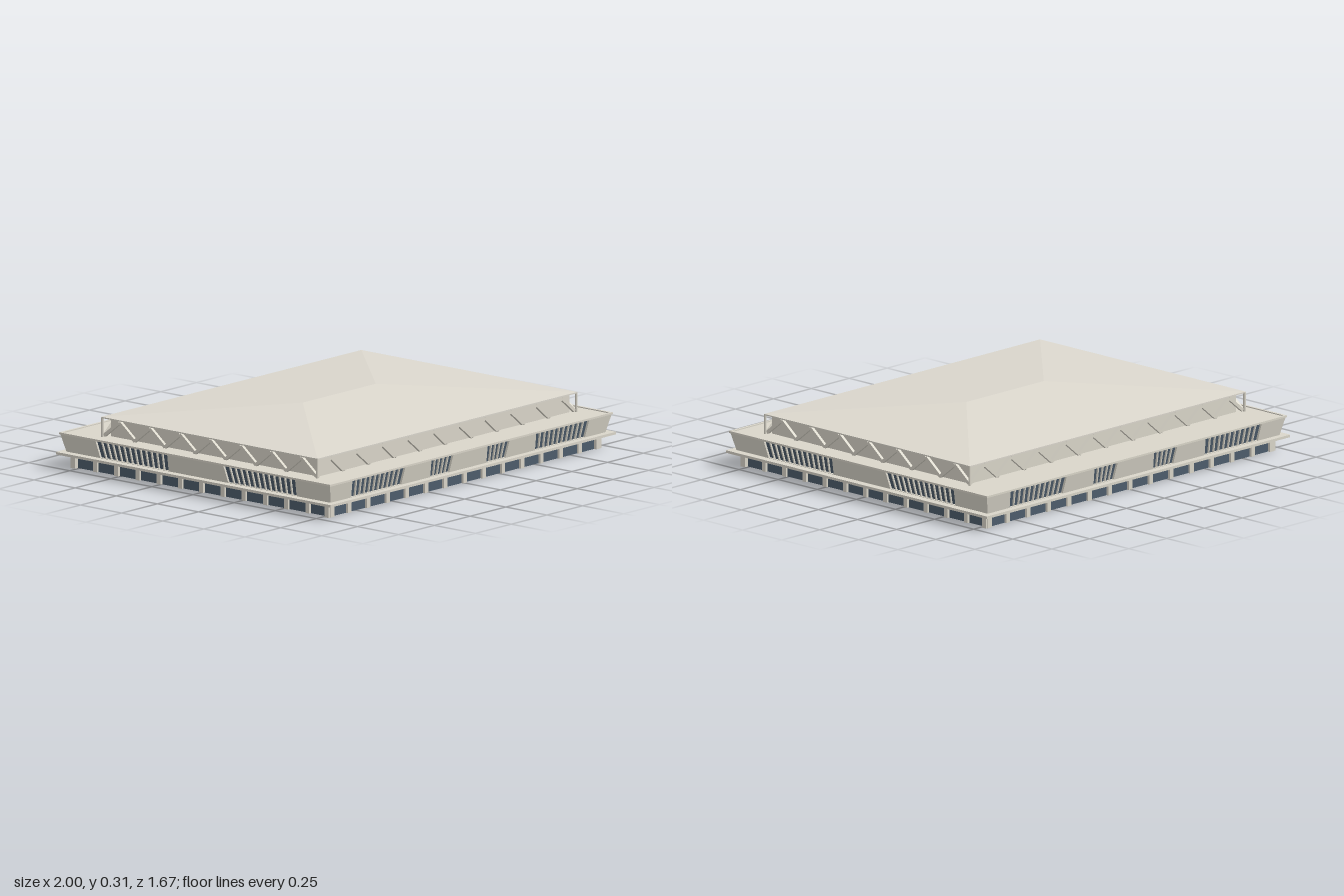
import * as THREE from 'three';

const mat = (name, color) => {
  const m = new THREE.MeshStandardMaterial({ color });
  m.name = name;
  return m;
};

export function createModel() {
  const root = new THREE.Group();
  root.name = 'arena';
  const wall = mat('warm beige wall', 0xdad6ca);
  const roofMat = mat('roof beige', 0xdcd8ce);
  const glass = mat('blue grey glass', 0x4d5d6c);

  const add = (parent, name, geo, m, x = 0, y = 0, z = 0) => {
    const mesh = new THREE.Mesh(geo, m);
    mesh.name = name;
    mesh.position.set(x, y, z);
    parent.add(mesh);
    return mesh;
  };
  // box given by its bounds
  const block = (parent, name, m, x0, x1, y0, y1, z0, z1) =>
    add(parent, name, new THREE.BoxGeometry(x1 - x0, y1 - y0, z1 - z0), m,
      (x0 + x1) / 2, (y0 + y1) / 2, (z0 + z1) / 2);
  // bar between two points
  const bar = (parent, name, m, a, b, t) => {
    const d = b.clone().sub(a);
    const mesh = add(parent, name, new THREE.BoxGeometry(t, d.length(), t), m);
    mesh.position.copy(a).add(b).multiplyScalar(0.5);
    mesh.quaternion.setFromUnitVectors(new THREE.Vector3(0, 1, 0), d.normalize());
  };
  // lean a geometry outwards (+z) and sideways (x) with height
  const shear = (geo, slopeZ, slopeX = 0) => {
    const g = geo.index ? geo.toNonIndexed() : geo;
    const p = g.attributes.position;
    for (let i = 0; i < p.count; i++) {
      const y = p.getY(i);
      p.setX(i, p.getX(i) + slopeX * y);
      p.setZ(i, p.getZ(i) + slopeZ * y);
    }
    g.computeVertexNormals();
    return g;
  };
  const points = list => list.map(([x, y]) => new THREE.Vector2(x, y));
  const rect = (w, h) => points([[-w, -h], [w, -h], [w, h], [-w, h]]);

  // overhanging slab ring, open in the middle
  const ring = new THREE.Shape(rect(1, 0.835));
  ring.holes.push(new THREE.Path(rect(0.925, 0.765)));
  const slab = new THREE.ExtrudeGeometry(ring, { depth: 0.012, bevelEnabled: false });
  add(root, 'overhangSlab', slab.rotateX(-Math.PI / 2), wall, 0, 0.064, 0);

  // upper deck behind the parapet
  block(root, 'upperDeck', wall, -0.975, 0.975, 0.157, 0.164, -0.81, 0.81);

  // the four facades, each built facing +z and turned into place
  const Y0 = 0.075, H = 0.088;
  for (let k = 0; k < 4; k++) {
    const long = k % 2 === 0;
    const W = long ? 0.962 : 0.803, D = long ? 0.803 : 0.962;
    const flareW = long ? 0.024 : 0.018, flareD = long ? 0.018 : 0.024;
    const slope = flareD / H;
    const side = new THREE.Group();
    side.name = ['frontFacade', 'leftFacade', 'backFacade', 'rightFacade'][k];
    side.rotation.y = k * Math.PI / 2;
    root.add(side);

    // ground floor: thin glazing with columns standing through it
    const bays = long ? 14 : 12, span = long ? 0.942 : 0.775;
    block(side, 'groundGlazing', glass, -span + 0.01, span - 0.01, 0, 0.064, D - 0.036, D - 0.03);
    for (let i = 0; i <= bays; i++) {
      const x = -span + 2 * span * i / bays;
      block(side, 'column', wall, x - 0.012, x + 0.012, 0, 0.064, D - 0.045, D - 0.018);
    }

    // outward leaning wall with window openings that narrow downwards
    const openings = long
      ? [[-0.828, -0.458], [-0.275, -0.122], [0.118, 0.271], [0.458, 0.828]]
      : [[-0.607, -0.171], [0.171, 0.607]];
    const taper = 0.01, lo = 0.003, hi = H - 0.005;
    const shape = new THREE.Shape(points([[-W, 0], [W, 0], [W + flareW, H], [-W - flareW, H]]));
    for (const [a, b] of openings) {
      shape.holes.push(new THREE.Path(points([[a + taper, lo], [a, hi], [b, hi], [b - taper, lo]])));
    }
    const panel = new THREE.ExtrudeGeometry(shape, { depth: 0.016, bevelEnabled: false });
    add(side, 'leaningWall', shear(panel, slope), wall, 0, Y0, D - 0.016);

    // glazing and splayed fins in each opening
    for (const [a, b] of openings) {
      const pane = new THREE.BoxGeometry(b - a + 0.01, H - 0.004, 0.006);
      pane.translate((a + b) / 2, H / 2, -0.014);
      add(side, 'upperWindow', shear(pane, slope), glass, 0, Y0, D);
      const n = Math.round((b - a) / 0.033);
      for (let i = 1; i < n; i++) {
        const t = i / n;
        const fin = new THREE.BoxGeometry(0.007, hi - lo, 0.016);
        fin.translate(a + taper + (b - a - 2 * taper) * t, H / 2, -0.011);
        add(side, 'windowFin', shear(fin, slope, taper * (2 * t - 1) / H), wall, 0, Y0, D);
      }
    }

    // parapet rim
    const rw = W + flareW + 0.003, rd = D + flareD + 0.003;
    block(side, 'parapet', wall, -rw, rw, 0.159, 0.168, rd - 0.012, rd);
  }

  // recessed storey below the roof
  const X0 = -0.918, X1 = 0.902, Z0 = -0.63, Z1 = 0.685, EAVE = 0.252;
  block(root, 'atticWall', wall, -0.88, 0.875, 0.16, 0.254, -0.605, 0.66);

  // zigzag truss around the storey
  const truss = new THREE.Group();
  truss.name = 'truss';
  root.add(truss);
  const cornersAt = inset => [[X0, Z1], [X1, Z1], [X1, Z0], [X0, Z0]].map(([x, z]) =>
    new THREE.Vector3(x - Math.sign(x) * inset, 0, z - Math.sign(z) * inset));
  const corners = cornersAt(0.012);
  corners.forEach((a, i) => {
    const b = corners[(i + 1) % 4];
    const n = 2 * (i % 2 === 0 ? 10 : 7);
    const point = j => a.clone().lerp(b, j / n).setY(j % 2 ? 0.245 : 0.171);
    for (let j = 0; j < n; j++) bar(truss, 'trussDiagonal', wall, point(j), point(j + 1), 0.015);
  });
  for (const c of cornersAt(0.004)) {
    add(truss, 'cornerPost', new THREE.CylinderGeometry(0.006, 0.006, 0.092, 10), wall, c.x, 0.21, c.z);
  }

  // hipped roof on a thin eave
  const y = 0.258, top = 0.311;
  block(root, 'roofEave', roofMat, X0, X1, EAVE, y, Z0, Z1);
  const A = [X0, y, Z1], B = [X1, y, Z1], C = [X1, y, Z0], E = [X0, y, Z0];
  const L = [-0.265, top, 0.028], R = [0.246, top, 0.028];
  const tris = [A, B, R, A, R, L, B, C, R, C, E, L, C, L, R, E, A, L];
  const hip = new THREE.BufferGeometry();
  hip.setAttribute('position', new THREE.Float32BufferAttribute(tris.flat(), 3));
  hip.computeVertexNormals();
  add(root, 'hippedRoof', hip, roofMat);

  return root;
}
